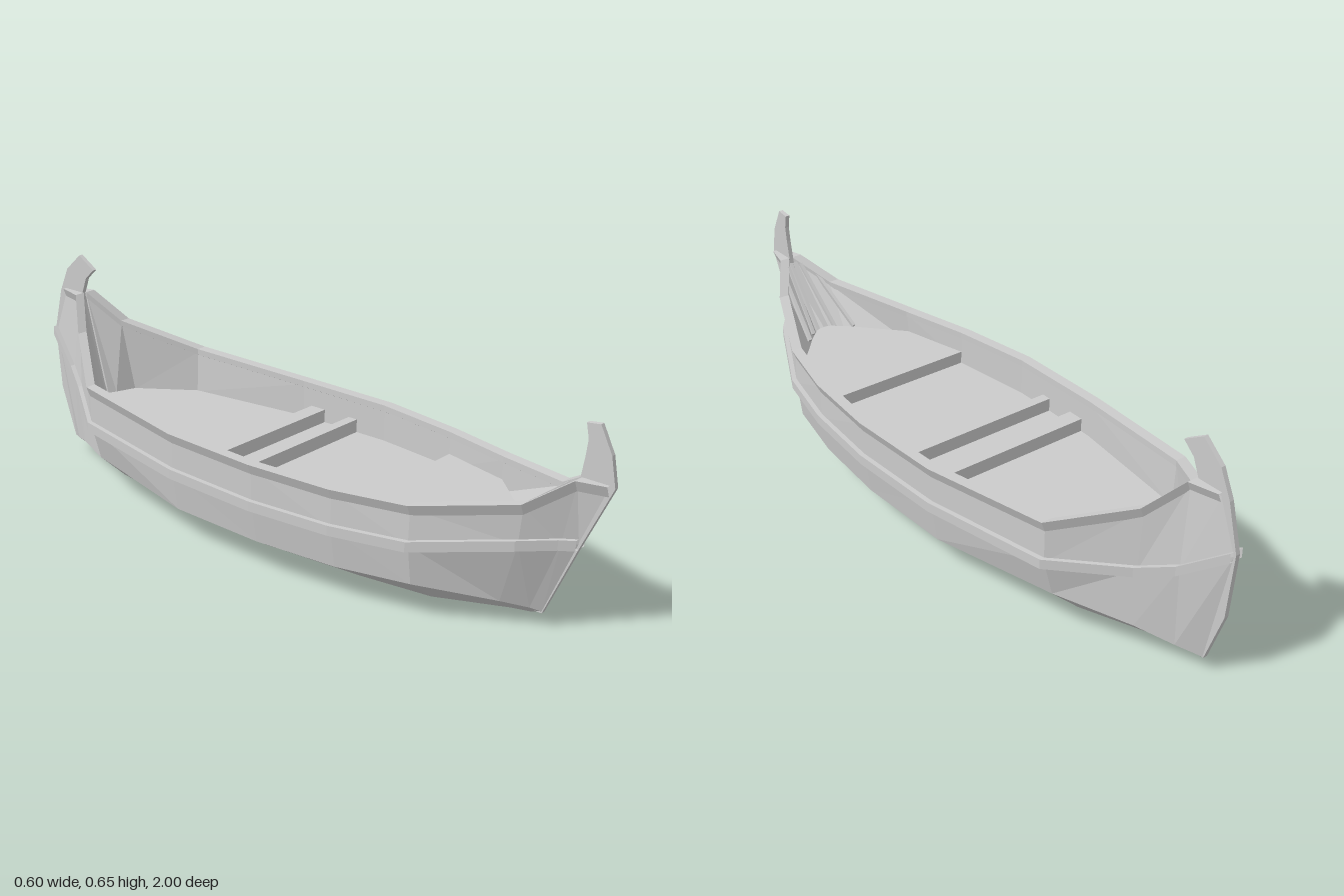
import * as THREE from 'three';

const material = new THREE.MeshStandardMaterial({ color: 0xcccccc, flatShading: true, side: THREE.DoubleSide });

// Lengthwise lines of the left half, [x, y, z] from bow to stern
const keel = [[0, .04, .82], [0, .03, .79], [0, .022, .74], [0, .01, .56], [0, .004, .35], [0, 0, .1],
  [0, .002, -.2], [0, .013, -.59], [0, .025, -.78], [0, .035, -.87], [0, .042, -.93]];
const bilge = [[.003, .042, .822], [.012, .042, .795], [.035, .04, .74], [.11, .035, .56], [.14, .034, .35], [.16, .033, .1],
  [.155, .035, -.2], [.11, .04, -.59], [.05, .05, -.78], [.02, .045, -.87], [.003, .043, -.93]];
const chine = [[.006, .045, .825], [.025, .055, .8], [.07, .07, .74], [.2, .105, .56], [.245, .1, .35], [.27, .1, .1],
  [.265, .1, -.2], [.2, .125, -.59], [.1, .095, -.78], [.045, .065, -.87], [.006, .046, -.93]];
const waist = [[.006, .26, .915], [.03, .26, .88], [.095, .255, .8], [.215, .218, .56], [.262, .213, .35], [.287, .213, .1],
  [.282, .216, -.2], [.23, .235, -.59], [.1, .262, -.78], [.05, .295, -.87], [.006, .385, -.995]];
const gunwale = [[.006, .425, .985], [.025, .425, .91], [.095, .357, .81], [.21, .317, .56], [.26, .315, .35], [.288, .32, .1],
  [.282, .323, -.2], [.23, .347, -.59], [.09, .432, -.78], [.025, .522, -.86], [.006, .522, -.94]];
const floorLine = [[.006, .22, .74], [.02, .22, .735], [.06, .22, .7], [.195, .22, .55], [.24, .22, .35], [.268, .22, .1],
  [.262, .22, -.2], [.205, .22, -.59], [.09, .22, -.75], [.03, .22, -.77], [.006, .22, -.78]];

const shift = (line, dx, dy) => line.map(([x, y, z]) => [Math.max(.003, x + dx), y + dy, z]);

// Skin a set of lines with flat quads on both sides of the boat
function loft(lines) {
  const pos = [];
  for (const side of [1, -1]) {
    for (let j = 0; j < lines.length - 1; j++) {
      for (let i = 0; i < lines[j].length - 1; i++) {
        const a = lines[j][i], b = lines[j][i + 1], c = lines[j + 1][i + 1], d = lines[j + 1][i];
        const corners = side > 0 ? [a, b, c, a, c, d] : [a, c, b, a, d, c];
        for (const [x, y, z] of corners) pos.push(x * side, y, z);
      }
    }
  }
  const g = new THREE.BufferGeometry();
  g.setAttribute('position', new THREE.Float32BufferAttribute(pos, 3));
  g.computeVertexNormals();
  return g;
}

// Thin upright plate from a [z, y] outline
function plate(points, thickness) {
  const g = new THREE.ExtrudeGeometry(new THREE.Shape(points.map(p => new THREE.Vector2(...p))),
    { depth: thickness, bevelEnabled: false });
  return g.translate(0, 0, -thickness / 2).rotateY(-Math.PI / 2);
}

export function createModel() {
  const boat = new THREE.Group();
  boat.name = 'boat';
  const add = (name, geometry, x = 0, y = 0, z = 0) => {
    const mesh = new THREE.Mesh(geometry, material);
    mesh.name = name;
    mesh.position.set(x, y, z);
    boat.add(mesh);
    return mesh;
  };

  // Hull, inner walls, rail and rubbing strake
  add('hull', loft([keel, bilge, chine, waist, gunwale]));
  add('innerWalls', loft([shift(gunwale, -.018, 0), floorLine]));
  add('rail', loft([shift(gunwale, 0, -.02), shift(gunwale, .012, .01), shift(gunwale, -.02, .01),
    shift(gunwale, -.02, -.008), shift(gunwale, 0, -.02)]));
  add('strake', loft([shift(waist, -.004, -.014), shift(waist, .014, -.014),
    shift(waist, .014, .014), shift(waist, -.004, .014)]));

  // Decks, with the front one a step higher
  const flatDeck = (line, y) => loft([line.map(p => [p[0], y, p[2]]), line.map(p => [0, y, p[2]])]);
  add('mainDeck', flatDeck(floorLine, .223));
  add('frontDeck', flatDeck(shift(floorLine.slice(0, 5), .004, 0), .26));
  add('deckStep', new THREE.BoxGeometry(.49, .038, .01), 0, .241, .355);

  // Cross beams
  for (const [z, depth] of [[-.145, .05], [-.015, .03]]) {
    add('crossBeam', new THREE.BoxGeometry(.54, .04, depth), 0, .242, z);
  }

  // Ribs fanning up into the bow
  const up = new THREE.Vector3(0, 1, 0);
  for (const side of [1, -1]) {
    for (const [from, to] of [[[.015, .25, .745], [.008, .42, .9]], [[.04, .25, .735], [.022, .415, .89]],
      [[.08, .26, .69], [.055, .385, .85]]]) {
      const a = new THREE.Vector3(from[0] * side, from[1], from[2]);
      const b = new THREE.Vector3(to[0] * side, to[1], to[2]);
      const rib = add('bowRib', new THREE.BoxGeometry(.01, a.distanceTo(b), .012));
      rib.position.copy(a).add(b).multiplyScalar(.5);
      rib.quaternion.setFromUnitVectors(up, b.sub(a).normalize());
    }
  }

  // Hooked posts at each end
  add('bowPost', plate([[.8, .04], [.825, .04], [.917, .25], [1, .43], [.985, .51], [.95, .58], [.912, .575],
    [.92, .535], [.915, .49], [.905, .43], [.87, .25]], .013));
  add('sternPost', plate([[-.9, .045], [-.932, .045], [-.985, .2], [-1, .39], [-.965, .52], [-.93, .595], [-.87, .648],
    [-.81, .612], [-.845, .58], [-.865, .53], [-.86, .5], [-.79, .23]], .013));

  return boat;
}
